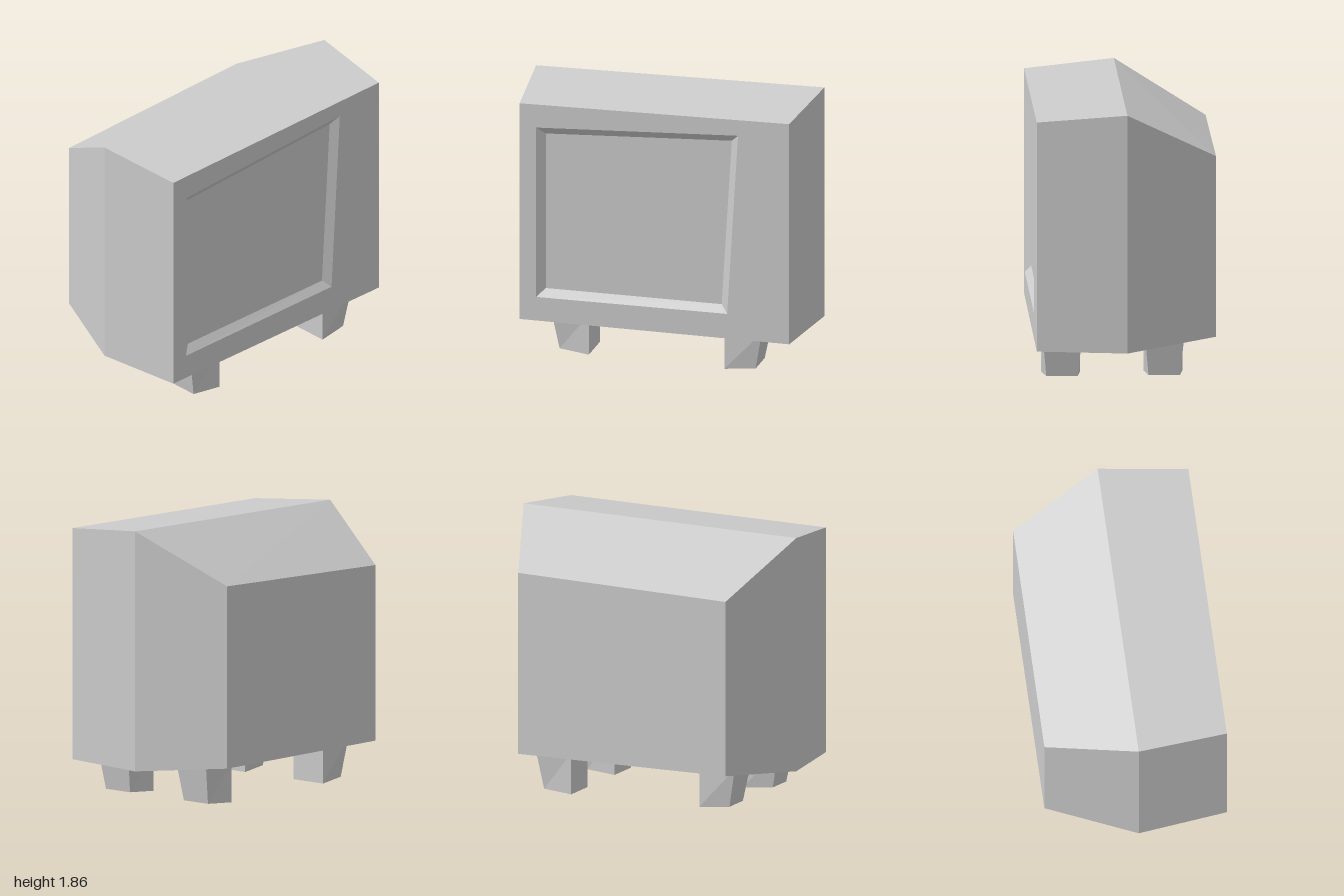
import * as THREE from 'three';

const grey = new THREE.MeshStandardMaterial({ color: 0xcccccc });
grey.name = 'plain grey';

// Flat-faced skin through four-cornered sections, which run
// anticlockwise as seen from +x and are listed from -x to +x.
function loft(name, sections, capStart, capEnd) {
  const positions = [];
  const quad = (a, b, c, d) => positions.push(...a, ...b, ...c, ...a, ...c, ...d);
  for (let s = 0; s < sections.length - 1; s++) {
    const p = sections[s], q = sections[s + 1];
    for (let i = 0; i < 4; i++) {
      const j = (i + 1) % 4;
      quad(p[i], p[j], q[j], q[i]);
    }
  }
  if (capStart) quad(...[...sections[0]].reverse());
  if (capEnd) quad(...sections[sections.length - 1]);
  const geometry = new THREE.BufferGeometry();
  geometry.setAttribute('position', new THREE.Float32BufferAttribute(positions, 3));
  geometry.computeVertexNormals();
  const mesh = new THREE.Mesh(geometry, grey);
  mesh.name = name;
  return mesh;
}

// Section at one x from [z, y] corners: front bottom, back bottom, back top, front top
const section = (x, corners) => corners.map(([z, y]) => [x, y, z]);

// Stubby foot whose outward face narrows towards the floor
function foot(name, cx, end) {
  const sections = [-1, 1].map((s) => {
    const ring = [
      [cx + s * 0.105, 0.015, end * 0.68],
      [cx + s * 0.13, 0, end * 0.47],
      [cx + s * 0.13, 0.28, end * 0.47],
      [cx + s * 0.13, 0.28, end * 0.73],
    ];
    return end > 0 ? ring : ring.reverse();
  });
  return loft(name, sections, true, true);
}

export function createModel() {
  const model = new THREE.Group();
  model.name = 'television';

  const back = section(-0.6, [[0.76, 0.275], [-0.76, 0.29], [-0.76, 1.52], [0.76, 1.46]]);
  const middle = section(0, [[1, 0.215], [-1, 0.235], [-1, 1.855], [1, 1.80]]);
  const rim = section(0.6, [[0.935, 0.222], [-0.935, 0.24], [-0.935, 1.80], [0.935, 1.75]]);
  const opening = section(0.6, [[0.82, 0.39], [-0.505, 0.41], [-0.58, 1.68], [0.82, 1.59]]);
  const glass = section(0.56, [[0.765, 0.445], [-0.455, 0.46], [-0.525, 1.625], [0.765, 1.54]]);

  // Casing, flat surround, and the sloped recess with the screen at its floor
  model.add(loft('casing', [back, middle, rim], true, false));
  model.add(loft('screenSurround', [rim, opening], false, false));
  model.add(loft('recessedScreen', [opening, glass], false, true));

  // Four feet
  for (const [end, place] of [[1, 'front'], [-1, 'rear']]) {
    model.add(foot(place + 'LeftFoot', 0.42, end));
    model.add(foot(place + 'RightFoot', -0.26, end));
  }
  return model;
}
